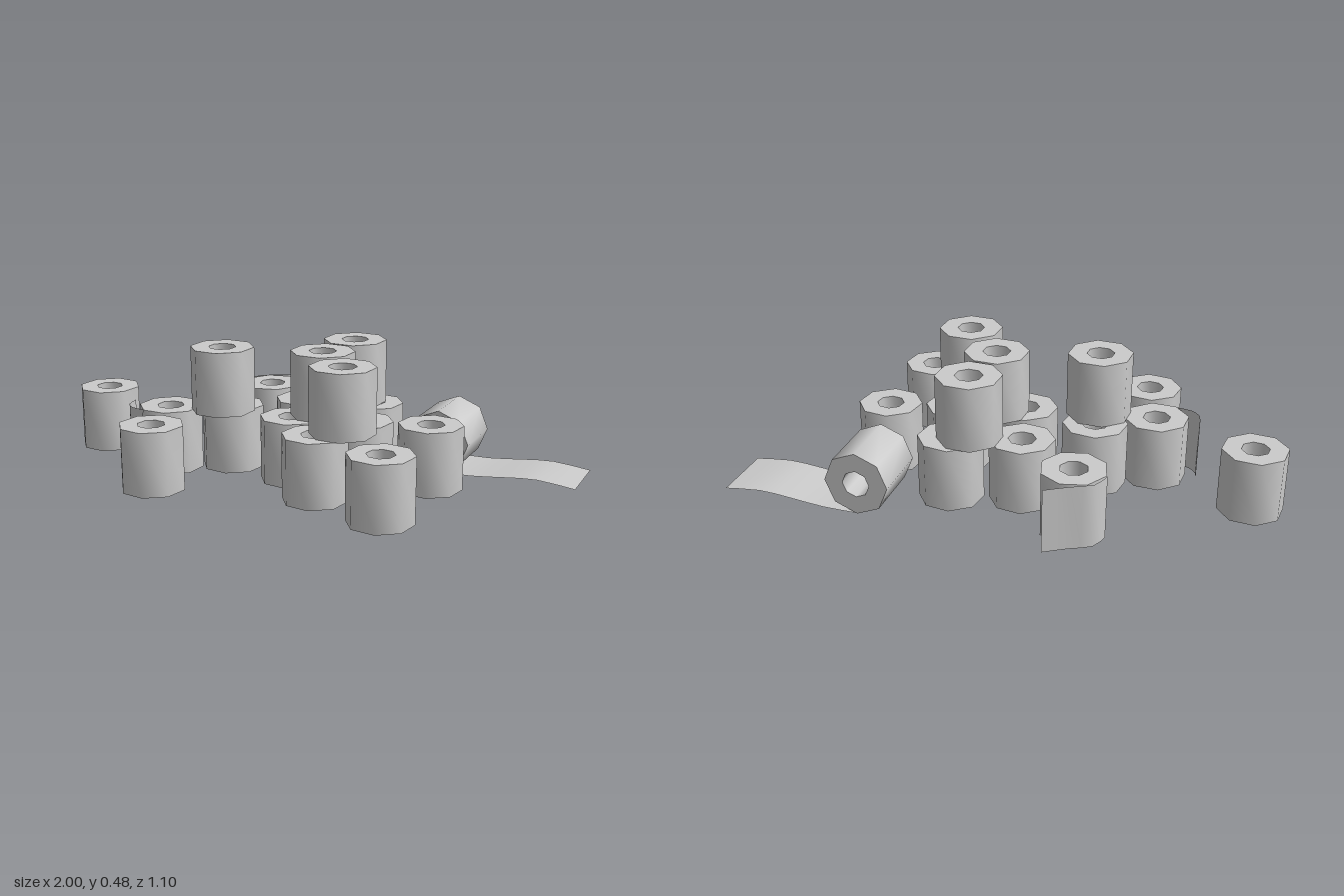
import * as THREE from 'three';
import { toCreasedNormals } from 'three/addons/utils/BufferGeometryUtils.js';

const R = 0.118, HOLE = 0.05, H = 0.238;

// Octagonal paper roll with a hollow core, standing on y = 0
function rollGeometry() {
  const profile = [[R, 0], [R, H], [HOLE, H], [HOLE, 0], [R, 0]].map(([x, y]) => new THREE.Vector2(x, y));
  return toCreasedNormals(new THREE.LatheGeometry(profile, 8), 0.9);
}

// Thin sheet following an xy path, extended along z
function sheetGeometry(points, width, steps) {
  const curve = new THREE.SplineCurve(points.map(([x, y]) => new THREE.Vector2(x, y)));
  const geo = new THREE.PlaneGeometry(1, width, steps, 1);
  const pos = geo.attributes.position;
  for (let i = 0; i < pos.count; i++) {
    const p = curve.getPoint(pos.getX(i) + 0.5);
    pos.setXYZ(i, p.x, p.y, -pos.getY(i));
  }
  geo.computeVertexNormals();
  return geo;
}

export function createModel() {
  const model = new THREE.Group();
  model.name = 'paperRolls';
  const paper = new THREE.MeshStandardMaterial({ color: 0xcccccc });
  const sheet = new THREE.MeshStandardMaterial({ color: 0xcccccc, side: THREE.DoubleSide });
  const roll = rollGeometry();

  const add = (parent, name, geo, mat, x, y, z) => {
    const mesh = new THREE.Mesh(geo, mat);
    mesh.name = name;
    mesh.position.set(x, y, z);
    parent.add(mesh);
    return mesh;
  };

  // Standing rolls: x, z, turn
  const lower = [
    [-0.882, -0.215, 0.05], [-0.26, -0.397, Math.PI / 8], [-0.553, 0.005, 0.1], [-0.54, 0.262, 0],
    [-0.33, -0.058, 0], [-0.075, -0.195, 0], [0.178, -0.195, 0], [-0.075, 0.06, 0],
    [0.178, 0.06, 0], [0.43, 0.06, 0], [0.052, 0.262, 0], [0.308, 0.432, 0],
  ];
  const upper = [[-0.342, 0.026, 0.1], [0.11, -0.197, 0.1], [0.03, 0.018, 0.1], [0.143, 0.233, 0.1]];
  for (const [x, z, turn] of lower) add(model, 'lowerRoll', roll, paper, x, 0, z).rotation.y = turn;
  for (const [x, z, turn] of upper) add(model, 'upperRoll', roll, paper, x, H, z).rotation.y = turn;

  // Loose upright ends peeling off two rolls: x, z, path in plan
  const flaps = [
    [-0.26, -0.397, [[-0.112, -0.046], [-0.07, -0.105], [0.01, -0.125], [0.1, -0.153]]],
    [-0.553, 0.005, [[-0.08, 0.085], [-0.13, 0.062], [-0.156, 0.02], [-0.153, -0.04]]],
  ];
  for (const [x, z, path] of flaps) {
    add(model, 'looseEnd', sheetGeometry(path, H, 6), sheet, x, H / 2, z).rotation.x = Math.PI / 2;
  }

  // Fallen roll with its paper unrolled along the ground
  const fallen = new THREE.Group();
  fallen.name = 'fallenRoll';
  fallen.position.set(0.465, 0, -0.235);
  fallen.rotation.y = -0.24;
  add(fallen, 'lyingRoll', roll, paper, 0, R, -H / 2).rotation.x = Math.PI / 2;
  const trail = [[0, 0.002], [0.13, 0.003], [0.26, 0.016], [0.38, 0.025], [0.52, 0.01]];
  add(fallen, 'unrolledSheet', sheetGeometry(trail, H, 8), sheet, 0, 0, 0);
  model.add(fallen);

  return model;
}
